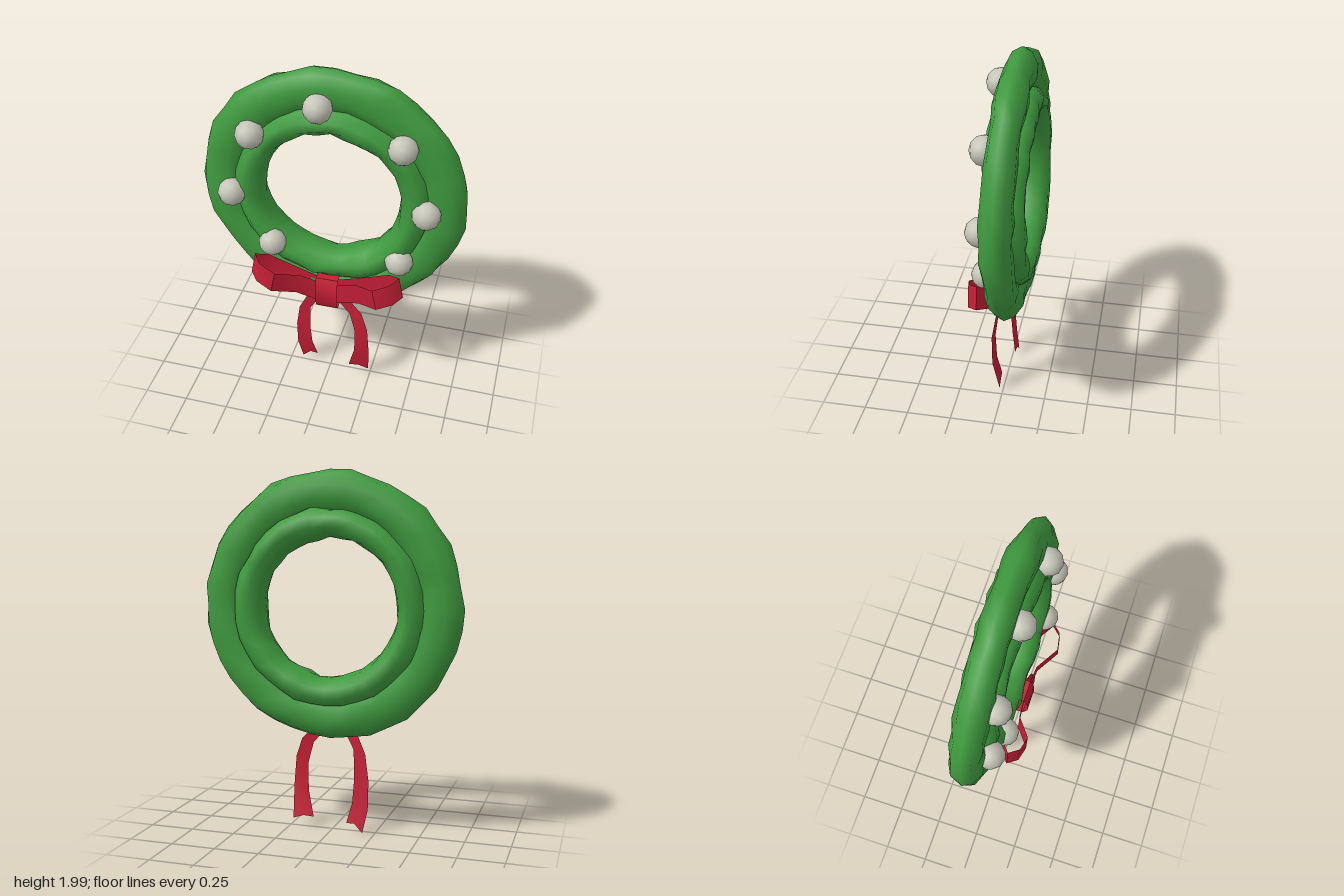
import * as THREE from 'three';
import { mergeVertices, toCreasedNormals } from 'three/addons/utils/BufferGeometryUtils.js';

const green = new THREE.MeshStandardMaterial({ color: 0x3f9a3f });
green.name = 'leafGreen';
const red = new THREE.MeshStandardMaterial({ color: 0xc41e35, side: THREE.DoubleSide });
red.name = 'ribbonRed';
const pale = new THREE.MeshStandardMaterial({ color: 0xc6c5b8 });
pale.name = 'paleGrey';

// Repeatable value in -1..1 for a pair of integers
function hash(a, b) {
  const s = Math.sin(a * 127.1 + b * 311.7) * 43758.5453;
  return (s - Math.floor(s)) * 2 - 1;
}

// Lumpy oval-section ring, welded so that it shades smoothly
function lumpyRing(radius, tube, depth, around, bump, seed) {
  const sides = 10;
  const g = new THREE.TorusGeometry(radius, tube, sides, around);
  g.deleteAttribute('uv');
  g.deleteAttribute('normal');
  const p = g.attributes.position;
  for (let k = 0; k < p.count; k++) {
    const i = k % (around + 1) % around;
    const j = Math.floor(k / (around + 1)) % sides;
    const u = i / around * Math.PI * 2, v = j / sides * Math.PI * 2;
    const n = bump * (0.6 * hash(i + seed, 3) + 0.6 * hash(i + seed, j + 11));
    const r = radius + (tube + n) * Math.cos(v);
    p.setXYZ(k, r * Math.cos(u), r * Math.sin(u), (depth + n) * Math.sin(v));
  }
  const welded = mergeVertices(g, 1e-5);
  welded.computeVertexNormals();
  return welded;
}

// Strip between two edge paths; notch lifts the middle of the last row
function ribbon(edgeA, edgeB, notch = 0) {
  const pos = [], idx = [];
  edgeA.forEach((a, i) => {
    const b = edgeB[i];
    const m = a.map((c, k) => (c + b[k]) / 2);
    if (i === edgeA.length - 1) m[1] += notch;
    pos.push(...a, ...m, ...b);
    if (i === 0) return;
    for (let c = 0; c < 2; c++) {
      const q = (i - 1) * 3 + c;
      idx.push(q, q + 3, q + 1, q + 1, q + 3, q + 4);
    }
  });
  const g = new THREE.BufferGeometry();
  g.setAttribute('position', new THREE.Float32BufferAttribute(pos, 3));
  g.setIndex(idx);
  return toCreasedNormals(g, 0.7);
}

export function createModel() {
  const group = new THREE.Group();
  const add = (name, geometry, material, x = 0, y = 0, z = 0) => {
    const mesh = new THREE.Mesh(geometry, material);
    mesh.name = name;
    mesh.position.set(x, y, z);
    group.add(mesh);
    return mesh;
  };

  // Wreath: wide outer ring and a deeper inner ring
  add('outerRing', lumpyRing(0.61, 0.117, 0.082, 40, 0.012, 5), green, 0, 1.265, -0.045);
  add('innerRing', lumpyRing(0.46, 0.084, 0.116, 36, 0.012, 71), green, 0, 1.257, -0.048);

  // Round ornaments
  const ball = mergeVertices(new THREE.IcosahedronGeometry(0.079, 1).deleteAttribute('uv').deleteAttribute('normal'), 1e-4);
  ball.computeVertexNormals();
  [[-0.055, 1.815], [0.385, 1.645], [0.525, 1.27], [0.395, 0.935],
    [-0.32, 0.93], [-0.54, 1.23], [-0.42, 1.61]].forEach(([x, y], i) => {
    add('ornament' + (i + 1), ball, pale, x, y, 0.052).rotation.set(i, i * 1.7, i * 0.6);
  });

  // Bow loops, mirrored: out along the front, folded, back along the wreath
  const loop = [[0.03, 0.635, 0.07], [0.17, 0.68, 0.085], [0.29, 0.735, 0.172], [0.38, 0.775, 0.155],
    [0.425, 0.795, 0.1], [0.36, 0.765, 0.05], [0.2, 0.7, 0.04], [0.03, 0.64, 0.035]];
  for (const s of [1, -1]) {
    const edge = (d) => loop.map(([x, y, z]) => [s * (x - d * 0.2), y + d, z]);
    add(s > 0 ? 'leftBowLoop' : 'rightBowLoop', ribbon(edge(0.066), edge(-0.066)), red);
  }

  // Knot band wrapped around the middle of the bow
  const knot = [[0.54, 0.02], [0.538, 0.075], [0.6, 0.103], [0.69, 0.103], [0.745, 0.08], [0.745, 0.02]];
  add('bowKnot', ribbon(knot.map(([y, z]) => [-0.065, y, z]), knot.map(([y, z]) => [0.062, y, z])), red);

  // Hanging tails with notched ends
  add('leftTail', ribbon(
    [[0.02, 0.6, 0.04], [0.06, 0.555, 0.035], [0.125, 0.48, 0.04], [0.16, 0.36, 0.052], [0.157, 0.2, 0.045], [0.12, 0.05, 0.022]],
    [[0.06, 0.63, 0.04], [0.12, 0.57, 0.03], [0.195, 0.5, 0.045], [0.235, 0.39, 0.06], [0.247, 0.22, 0.055], [0.24, 0.035, 0.015]],
    0.012), red);
  add('rightTail', ribbon(
    [[-0.02, 0.6, 0.04], [-0.06, 0.56, 0.035], [-0.115, 0.46, 0.025], [-0.123, 0.3, 0.012], [-0.115, 0.16, 0], [-0.087, 0.047, -0.02]],
    [[-0.06, 0.63, 0.04], [-0.125, 0.57, 0.03], [-0.185, 0.44, 0.015], [-0.208, 0.29, 0.002], [-0.208, 0.13, -0.01], [-0.182, 0, -0.03]],
    0.025), red);
  return group;
}
